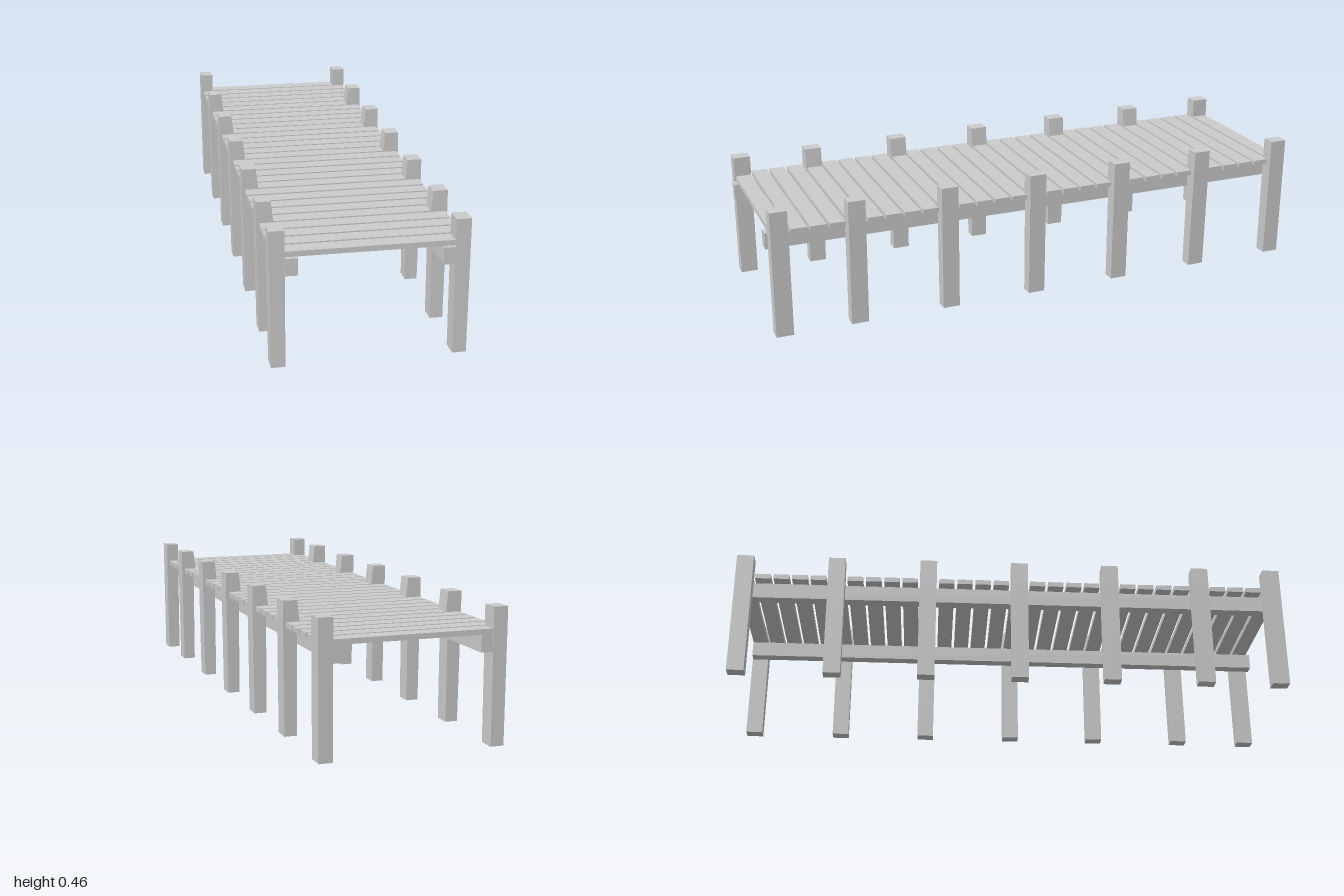
import * as THREE from 'three';

const material = new THREE.MeshStandardMaterial({ color: 0xcccccc, flatShading: true });

function box(name, w, h, d, x, y, z) {
  const mesh = new THREE.Mesh(new THREE.BoxGeometry(w, h, d), material);
  mesh.name = name;
  mesh.position.set(x, y, z);
  return mesh;
}

// Square post lofted through levels of [y, inner x, outer x]; side is +1 or -1
function post(name, side, z, levels, lean) {
  const geometry = new THREE.BoxGeometry(1, 1, 1, 1, levels.length - 1, 1);
  const p = geometry.attributes.position;
  for (let i = 0; i < p.count; i++) {
    const t = p.getY(i) + 0.5;
    const [y, inner, outer] = levels[Math.round(t * (levels.length - 1))];
    const outward = p.getX(i) * side > 0;
    const shift = lean * (1 - y / 0.455);
    p.setXYZ(i, side * (outward ? outer : inner), y, p.getZ(i) * 0.061 + z + shift);
  }
  geometry.computeVertexNormals();
  const mesh = new THREE.Mesh(geometry, material);
  mesh.name = name;
  return mesh;
}

export function createModel() {
  const pier = new THREE.Group();
  pier.name = 'pier';

  // Posts: the end pairs are straight, the others swell inward at deck height
  const straight = [[0, 0.27, 0.316], [0.455, 0.27, 0.319]];
  const swollen = [[0, 0.27, 0.314], [0.315, 0.27, 0.318], [0.38, 0.262, 0.319], [0.455, 0.27, 0.319]];
  const postZ = [-0.969, -0.638, -0.305, 0.027, 0.359, 0.692, 0.959];
  const leans = [0, 0.003, 0, 0.002, 0, 0.004, 0.003];
  postZ.forEach((z, i) => {
    const levels = i === 0 || i === 6 ? straight : swollen;
    pier.add(post('leftPost', 1, z, levels, leans[i]), post('rightPost', -1, z, levels, leans[i]));
  });

  // Long beams under the deck, against the inner faces of the posts
  for (const side of [-1, 1]) {
    pier.add(box(side > 0 ? 'leftBeam' : 'rightBeam', 0.04, 0.057, 1.997, side * 0.25, 0.3385, 0.0015));
  }

  // Deck planks; those between posts are shorter
  for (let i = 0; i < 30; i++) {
    const z = -0.968 + i * 0.0664;
    const atPost = i % 5 === 0 || i === 29;
    pier.add(box('plank', atPost ? 0.54 : 0.62, 0.018, 0.056, 0, 0.376, z));
  }

  return pier;
}
